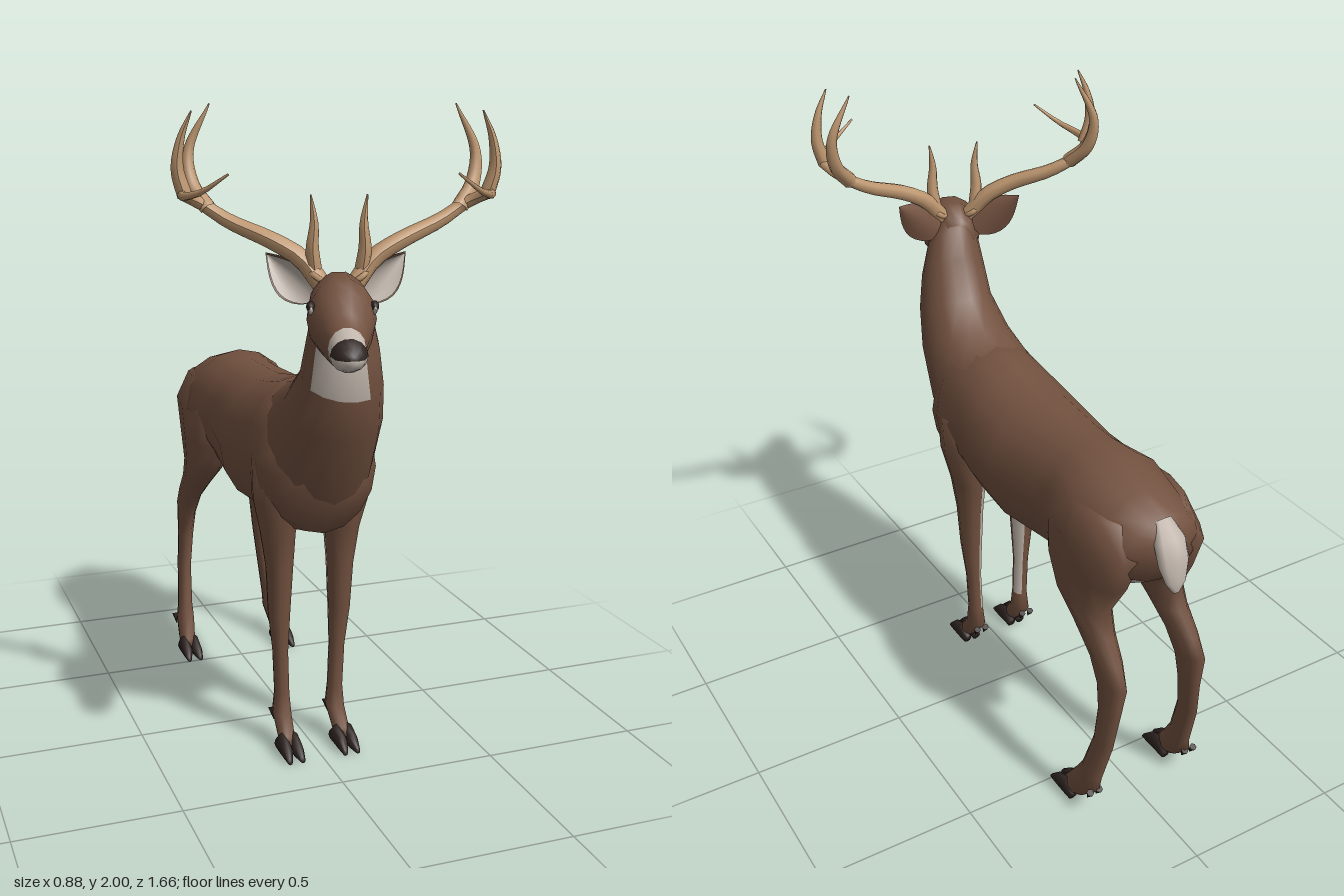
import * as THREE from 'three';

const mat = (name, color, side = THREE.FrontSide) => {
  const m = new THREE.MeshStandardMaterial({ color, side });
  m.name = name;
  return m;
};

// Skin through rings. Section: [x, z0, y0, z1, y1, halfWidth]; (z0,y0) and (z1,y1)
// are opposite ends of an ellipse. pick(row, side) gives the material index of a face.
function loft(secs, n, mirror = 1, pick = () => 0) {
  const pos = [], buckets = [[], [], []];
  const rows = secs.length;
  for (const [x, z0, y0, z1, y1, w] of secs) {
    for (let j = 0; j < n; j++) {
      const a = (j / n) * Math.PI * 2, c = Math.cos(a), s = Math.sin(a) / 2;
      pos.push(mirror * (x + w * c), (y0 + y1) / 2 + s * (y0 - y1), (z0 + z1) / 2 + s * (z0 - z1));
    }
  }
  for (const [x, z0, y0, z1, y1] of [secs[0], secs[rows - 1]]) pos.push(mirror * x, (y0 + y1) / 2, (z0 + z1) / 2);
  for (let i = 0; i < rows - 1; i++) for (let j = 0; j < n; j++) {
    const k = (j + 1) % n, a = i * n + j, b = i * n + k, c = a + n, d = b + n;
    buckets[pick(i, j)].push(a, b, c, b, d, c);
  }
  for (let j = 0; j < n; j++) {
    const k = (j + 1) % n, e = (rows - 1) * n;
    buckets[pick(0, j)].push(rows * n, k, j);
    buckets[pick(rows - 2, j)].push(rows * n + 1, e + j, e + k);
  }
  // Turn all faces outward
  const index = buckets.flat(), p = (i) => new THREE.Vector3().fromArray(pos, i * 3);
  let volume = 0;
  for (let i = 0; i < index.length; i += 3) volume += p(index[i]).dot(p(index[i + 1]).cross(p(index[i + 2])));
  if (volume < 0) for (let i = 0; i < index.length; i += 3) [index[i], index[i + 1]] = [index[i + 1], index[i]];
  const g = new THREE.BufferGeometry();
  g.setAttribute('position', new THREE.Float32BufferAttribute(pos, 3));
  g.setIndex(index);
  let start = 0;
  buckets.forEach((b, m) => { if (b.length) g.addGroup(start, b.length, m); start += b.length; });
  g.computeVertexNormals();
  return g;
}

// Tube along points whose radius runs from r0 to r1
function taperedTube(points, r0, r1, segs = 20, sides = 8) {
  const curve = new THREE.CatmullRomCurve3(points.map((q) => new THREE.Vector3(...q)));
  const g = new THREE.TubeGeometry(curve, segs, 1, sides);
  const p = g.attributes.position, v = new THREE.Vector3();
  for (let i = 0; i < p.count; i++) {
    const t = Math.floor(i / (sides + 1)) / segs, c = curve.getPointAt(t);
    v.fromBufferAttribute(p, i).sub(c).multiplyScalar(r0 + (r1 - r0) * t ** 1.6).add(c);
    p.setXYZ(i, v.x, v.y, v.z);
  }
  g.computeVertexNormals();
  return g;
}

// Cupped leaf shape for the ears, growing along +y and facing +z
function leaf(length, width, lift) {
  const g = new THREE.PlaneGeometry(1, 1, 6, 10), p = g.attributes.position;
  for (let i = 0; i < p.count; i++) {
    const t = p.getY(i) + 0.5, u = p.getX(i) * 2;
    const w = width * (0.35 * (1 - t) + Math.sin(Math.PI * t ** 0.8));
    p.setXYZ(i, u * w, t * length, lift + 0.025 * u * u * Math.sin(Math.PI * t) - 0.012);
  }
  g.computeVertexNormals();
  return g;
}

export function createModel() {
  const fur = mat('brown fur', 0x735240, THREE.DoubleSide);
  const white = mat('white fur', 0xc0b5ab);
  const bone = mat('antler bone', 0xbd966f);
  const dark = mat('dark hoof', 0x2f2522);
  const coat = [fur, white, dark];
  const root = new THREE.Group();
  root.name = 'deer';
  const add = (parent, name, geometry, material) => {
    const m = new THREE.Mesh(geometry, material);
    m.name = name;
    parent.add(m);
    return m;
  };

  // Trunk: z, top, bottom, half width; white belly
  const trunk = [
    [-0.775, 1.03, 0.95, 0.05], [-0.74, 1.07, 0.86, 0.125], [-0.65, 1.105, 0.8, 0.165], [-0.5, 1.145, 0.75, 0.19],
    [-0.38, 1.14, 0.735, 0.165], [-0.3, 1.14, 0.72, 0.165], [-0.1, 1.145, 0.7, 0.195], [0.05, 1.17, 0.71, 0.19],
    [0.13, 1.19, 0.72, 0.18], [0.25, 1.2, 0.72, 0.19], [0.33, 1.13, 0.74, 0.165], [0.41, 1.05, 0.85, 0.1],
  ].map(([z, top, bottom, w]) => [0, z, top, z, bottom, w]);
  add(root, 'trunk', loft(trunk, 16, 1, (i, j) => (i > 0 && i < 8 && j >= 10 && j <= 13 ? 1 : 0)), coat);

  // Neck with white throat patch
  add(root, 'neck', loft([
    [0, 0.34, 0.76, 0.05, 1.15, 0.16], [0, 0.43, 0.88, 0.16, 1.19, 0.165], [0, 0.53, 1.07, 0.26, 1.21, 0.145],
    [-0.002, 0.575, 1.2, 0.35, 1.29, 0.12], [-0.01, 0.575, 1.3, 0.41, 1.41, 0.105],
    [-0.02, 0.575, 1.36, 0.45, 1.5, 0.088], [-0.03, 0.6, 1.42, 0.5, 1.54, 0.06],
  ], 16, 1, (i, j) => ((i === 3 || i === 4) && j >= 3 && j <= 6 ? 1 : 0)), coat);

  // Tail
  add(root, 'tail', loft([
    [0, -0.72, 1.045, -0.75, 1.075, 0.03], [0, -0.75, 0.99, -0.8, 1.03, 0.053], [0, -0.775, 0.94, -0.822, 0.965, 0.052],
    [0, -0.798, 0.9, -0.828, 0.9, 0.035], [0, -0.81, 0.865, -0.822, 0.865, 0.012],
  ], 8), white);

  // Legs, each with two toes and two dewclaws
  const frontLeg = [
    [0.105, 0.32, 0.97, 0.1, 0.97, 0.085], [0.11, 0.31, 0.83, 0.11, 0.83, 0.075], [0.105, 0.275, 0.72, 0.13, 0.72, 0.055],
    [0.1, 0.26, 0.6, 0.15, 0.6, 0.042], [0.1, 0.245, 0.45, 0.16, 0.45, 0.035], [0.095, 0.23, 0.32, 0.17, 0.32, 0.025],
    [0.09, 0.23, 0.18, 0.17, 0.18, 0.024], [0.09, 0.24, 0.11, 0.16, 0.11, 0.03], [0.092, 0.28, 0.06, 0.21, 0.05, 0.027],
    [0.092, 0.3, 0.04, 0.24, 0.02, 0.026],
  ];
  const hindLeg = [
    [0.09, -0.4, 1.06, -0.7, 1.05, 0.07], [0.11, -0.34, 0.93, -0.765, 0.96, 0.086], [0.115, -0.35, 0.83, -0.72, 0.84, 0.076],
    [0.125, -0.42, 0.73, -0.665, 0.74, 0.06], [0.13, -0.52, 0.655, -0.7, 0.665, 0.045],
    [0.135, -0.61, 0.58, -0.755, 0.6, 0.036], [0.14, -0.655, 0.5, -0.79, 0.54, 0.03],
    [0.145, -0.675, 0.42, -0.77, 0.42, 0.026], [0.155, -0.67, 0.3, -0.755, 0.3, 0.023],
    [0.165, -0.63, 0.17, -0.715, 0.15, 0.025], [0.17, -0.6, 0.12, -0.71, 0.1, 0.03],
    [0.178, -0.56, 0.06, -0.65, 0.04, 0.028], [0.178, -0.54, 0.04, -0.62, 0.02, 0.026],
  ];
  const addLeg = (name, secs, side, footX, toeZ, clawZ, pick) => {
    const leg = new THREE.Group();
    leg.name = name;
    root.add(leg);
    add(leg, 'limb', loft(secs, 10, side, pick), coat);
    for (const d of [-1, 1]) {
      const x = footX + d * 0.018;
      add(leg, 'hoof', loft([
        [x, toeZ - 0.125, 0.035, toeZ - 0.115, 0, 0.015], [x, toeZ - 0.09, 0.068, toeZ - 0.08, 0, 0.02],
        [x, toeZ - 0.04, 0.05, toeZ - 0.035, 0, 0.018], [x + d * 0.003, toeZ - 0.005, 0.016, toeZ, 0, 0.008],
      ], 8, side), dark);
      const claw = add(leg, 'dewclaw', new THREE.ConeGeometry(0.012, 0.04, 6), dark);
      claw.position.set(side * (footX + d * 0.016), 0.09, clawZ);
      claw.rotation.x = Math.PI * 0.85;
    }
  };
  for (const [side, label] of [[1, 'left'], [-1, 'right']]) {
    addLeg(label + 'FrontLeg', frontLeg, side, 0.092, 0.35, 0.165,
      (i, j) => (i >= 1 && i <= 5 && (j === 5 || j === 6) ? 1 : 0));
    addLeg(label + 'HindLeg', hindLeg, side, 0.178, -0.495, -0.7, () => 0);
  }

  // Head, turned toward the right; z, top, bottom, half width
  const head = new THREE.Group();
  head.name = 'head';
  head.position.z = 0.39;
  head.rotation.y = -0.276;
  root.add(head);
  const skull = [
    [0.07, 1.52, 1.4, 0.05], [0.135, 1.56, 1.345, 0.085], [0.22, 1.553, 1.33, 0.095], [0.27, 1.525, 1.33, 0.083],
    [0.32, 1.475, 1.325, 0.062], [0.36, 1.445, 1.328, 0.051], [0.41, 1.425, 1.335, 0.05],
    [0.44, 1.405, 1.345, 0.038], [0.452, 1.388, 1.36, 0.017],
  ].map(([z, top, bottom, w]) => [0, z, top, z, bottom, w]);
  add(head, 'skull', loft(skull, 14, 1, (i, j) => (i < 5 ? 0 : i > 5 && j < 7 ? 2 : 1)), coat);

  for (const s of [1, -1]) {
    // Eyes with pale lids
    const lid = add(head, 'eyelid', new THREE.SphereGeometry(1, 12, 8), white);
    lid.scale.set(0.008, 0.017, 0.028);
    lid.position.set(s * 0.086, 1.474, 0.236);
    const eye = add(head, 'eye', new THREE.SphereGeometry(1, 12, 8), dark);
    eye.scale.set(0.012, 0.015, 0.021);
    eye.position.set(s * 0.086, 1.48, 0.24);

    // Ears
    const ear = new THREE.Group();
    ear.name = 'ear';
    const base = new THREE.Vector3(s * 0.065, 1.475, 0.1), tip = new THREE.Vector3(s * 0.2, 1.6, 0.055);
    const up = tip.clone().sub(base), length = up.length();
    up.normalize();
    const across = up.clone().cross(new THREE.Vector3(s * 0.4, 0, 1)).normalize();
    ear.quaternion.setFromRotationMatrix(new THREE.Matrix4().makeBasis(across, up, across.clone().cross(up)));
    ear.position.copy(base);
    head.add(ear);
    add(ear, 'earBack', leaf(length, 0.048, 0), fur);
    add(ear, 'earInside', leaf(length * 0.97, 0.042, 0.005), white);

    // Antlers
    const antler = new THREE.Group();
    antler.name = 'antler';
    head.add(antler);
    const spike = (name, pts, r0, r1) =>
      add(antler, name, taperedTube(pts.map(([x, y, z]) => [s * x, y, z]), r0, r1), bone);
    spike('mainBeam', [[0.045, 1.52, 0.125], [0.1, 1.59, 0.1], [0.177, 1.635, 0.074], [0.297, 1.685, 0.02],
      [0.37, 1.73, 0], [0.42, 1.758, 0.05], [0.415, 1.762, 0.12], [0.37, 1.78, 0.195], [0.3, 1.83, 0.245]], 0.027, 0.003);
    spike('rearTine', [[0.35, 1.715, 0.005], [0.395, 1.78, -0.045], [0.405, 1.87, -0.07], [0.345, 2, -0.065]], 0.024, 0.002);
    spike('middleTine', [[0.415, 1.755, 0.06], [0.435, 1.83, 0.062], [0.425, 1.91, 0.065], [0.395, 1.985, 0.072]], 0.021, 0.002);
    spike('browTine', [[0.065, 1.555, 0.115], [0.072, 1.62, 0.122], [0.068, 1.69, 0.125], [0.077, 1.765, 0.12]], 0.021, 0.002);
    const burr = add(antler, 'burr', new THREE.TorusGeometry(0.026, 0.009, 6, 12), bone);
    burr.position.set(s * 0.055, 1.54, 0.12);
    burr.rotation.set(Math.PI / 2, s * 0.6, 0);
  }
  return root;
}
